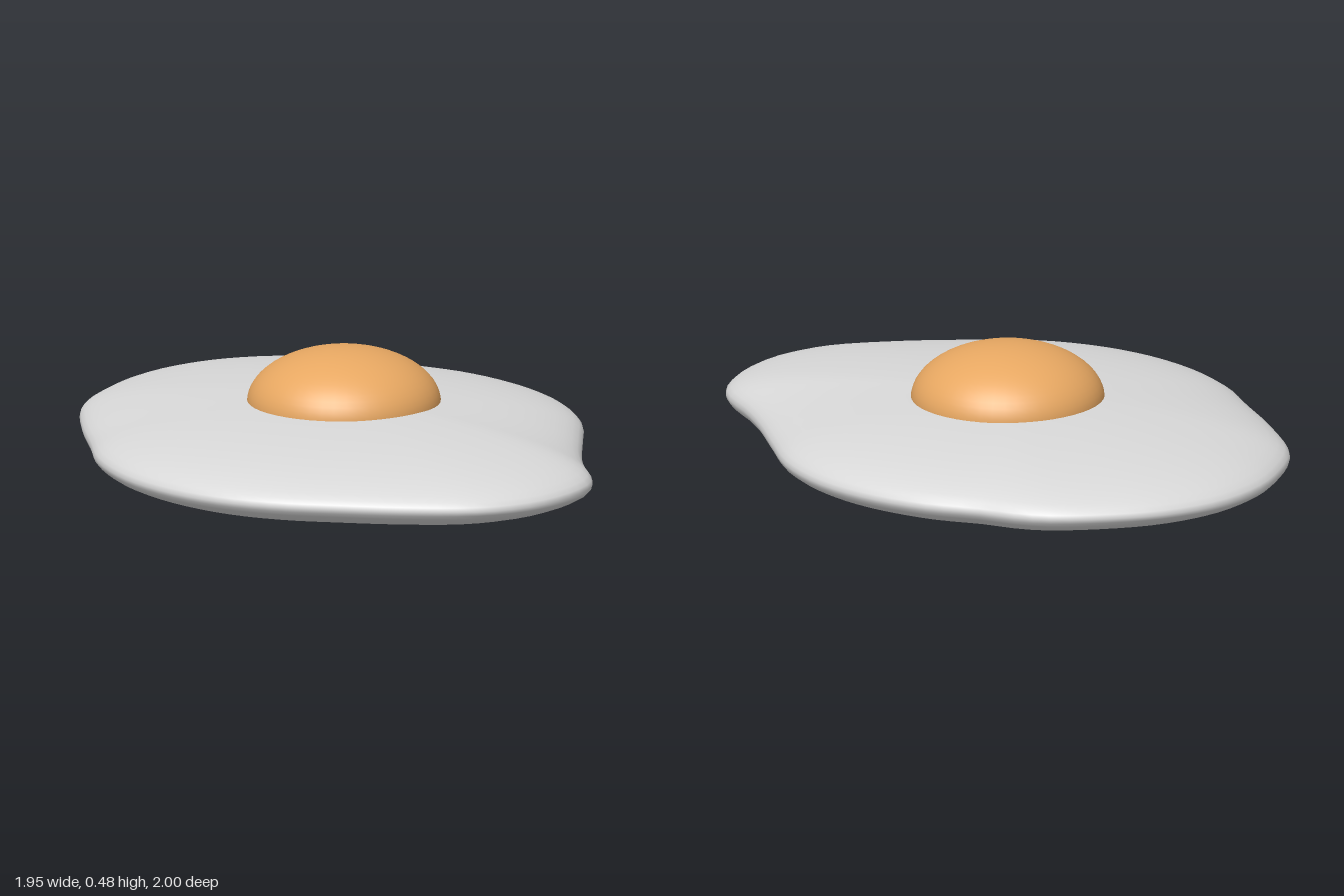
import * as THREE from 'three';
import { mergeVertices } from 'three/addons/utils/BufferGeometryUtils.js';

const white = new THREE.MeshStandardMaterial({ color: 0xd8d8d8 });
white.name = 'egg white';
const orange = new THREE.MeshStandardMaterial({ color: 0xe8a862 });
orange.name = 'yolk orange';

// Wavy rim of the egg white as [x, z], starting at the back and going round by the left
const RIM = [
  [-0.18, -1], [-0.06, -0.975], [0.06, -0.925], [0.25, -0.87], [0.45, -0.76], [0.62, -0.6],
  [0.74, -0.39], [0.8, -0.15], [0.85, 0.07], [0.9, 0.23], [0.965, 0.39], [0.975, 0.49],
  [0.93, 0.65], [0.84, 0.79], [0.69, 0.9], [0.45, 0.96], [0.2, 0.985], [0, 0.995],
  [-0.2, 0.965], [-0.4, 0.88], [-0.6, 0.72], [-0.75, 0.5], [-0.83, 0.28], [-0.92, 0.03],
  [-0.978, -0.22], [-0.955, -0.42], [-0.89, -0.62], [-0.76, -0.8], [-0.58, -0.92], [-0.38, -0.98],
];

// Sphere whose rings follow the rim outline, flattened into a lens
function eggWhiteGeometry() {
  const points = RIM.map(([x, z]) => new THREE.Vector3(x, 0, z)).reverse();
  const curve = new THREE.CatmullRomCurve3(points, true);
  const geometry = new THREE.SphereGeometry(1, 96, 32);
  const pos = geometry.attributes.position;
  const uv = geometry.attributes.uv;
  const centreY = 0.157, halfHeight = 0.153;
  for (let i = 0; i < pos.count; i++) {
    const y = pos.getY(i);
    const radius = Math.sqrt(Math.max(0, 1 - y * y));
    const rim = curve.getPointAt(((uv.getX(i) % 1) + 1) % 1);
    pos.setXYZ(i, rim.x * radius, centreY + y * halfHeight, rim.z * radius);
  }
  // Weld the seam so the shading stays smooth all round
  geometry.deleteAttribute('uv');
  geometry.deleteAttribute('normal');
  const welded = mergeVertices(geometry, 1e-4);
  welded.computeVertexNormals();
  return welded;
}

export function createModel() {
  const model = new THREE.Group();
  model.name = 'friedEgg';

  const eggWhite = new THREE.Mesh(eggWhiteGeometry(), white);
  eggWhite.name = 'eggWhite';

  // Flattened ball, its lower half sunk into the white
  const yolk = new THREE.Mesh(new THREE.SphereGeometry(1, 48, 32), orange);
  yolk.name = 'yolk';
  yolk.scale.set(0.332, 0.19, 0.332);
  yolk.position.set(-0.005, 0.29, -0.005);

  model.add(eggWhite, yolk);
  return model;
}
